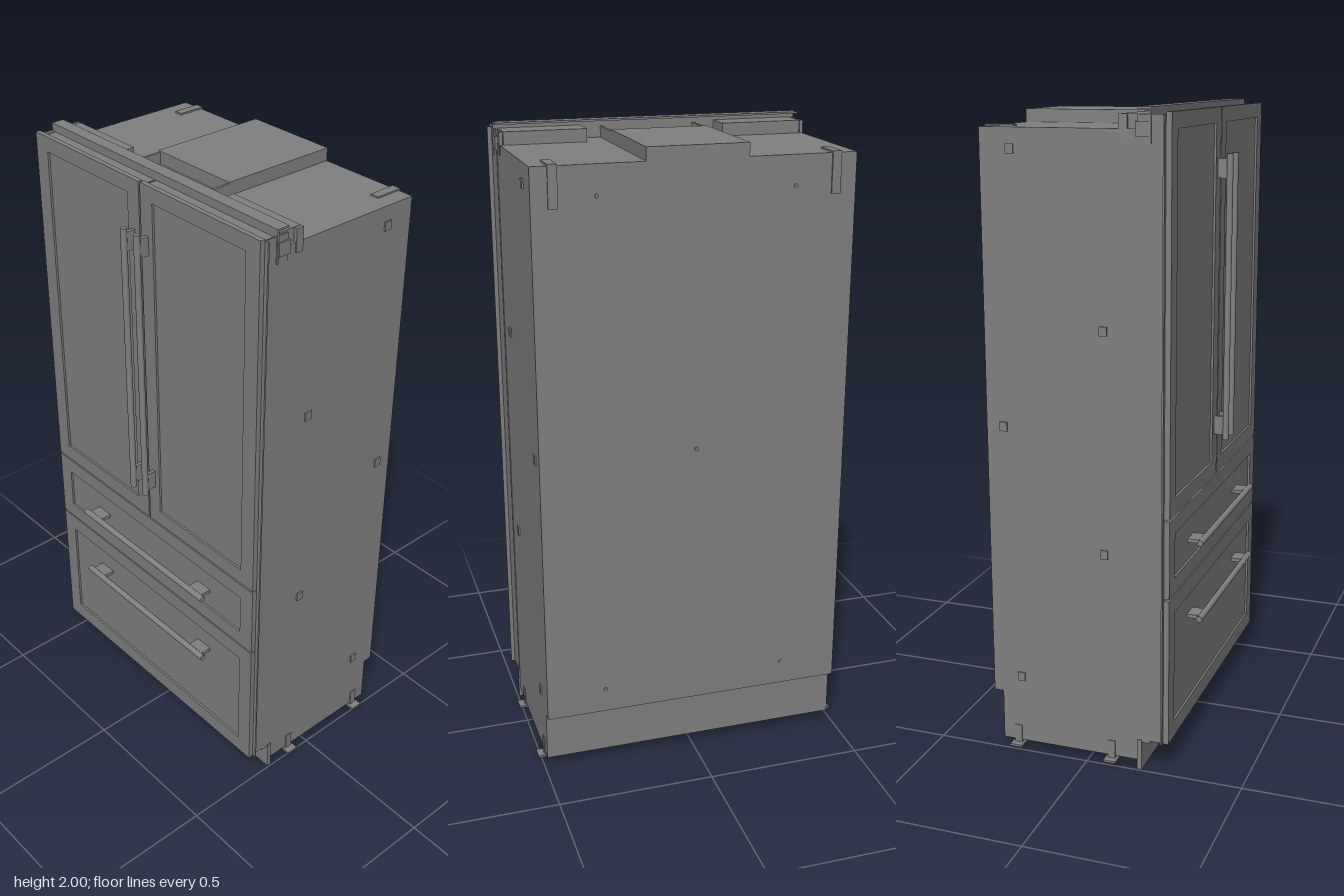
import * as THREE from 'three';

export function createModel() {
  const model = new THREE.Group();
  model.name = 'refrigerator';
  const grey = new THREE.MeshStandardMaterial({ color: 0x808080 });
  grey.name = 'grey';

  const add = (name, geometry, parent = model) => {
    const mesh = new THREE.Mesh(geometry, grey);
    mesh.name = name;
    parent.add(mesh);
    return mesh;
  };
  // Box given by its extents on each axis
  const box = (name, x0, x1, y0, y1, z0, z1, parent = model) => {
    const mesh = add(name, new THREE.BoxGeometry(x1 - x0, y1 - y0, z1 - z0), parent);
    mesh.position.set((x0 + x1) / 2, (y0 + y1) / 2, (z0 + z1) / 2);
    return mesh;
  };
  // Same box on both sides
  const pair = (name, x0, x1, ...rest) => {
    box(name + 'Left', x0, x1, ...rest);
    box(name + 'Right', -x1, -x0, ...rest);
  };
  const rect = (Type, x0, x1, y0, y1) => new Type([
    new THREE.Vector2(x0, y0), new THREE.Vector2(x1, y0),
    new THREE.Vector2(x1, y1), new THREE.Vector2(x0, y1)]);

  // Cabinet: side profile (z, y) extruded across the width
  const profile = new THREE.Shape([
    [-0.315, 0.19], [-0.285, 0.19], [-0.285, 0.03], [0.165, 0.03], [0.165, 0.09],
    [0.205, 0.09], [0.205, 1.94], [-0.315, 1.94],
  ].map(([z, y]) => new THREE.Vector2(-z, y)));
  const cabinet = new THREE.ExtrudeGeometry(profile, { depth: 0.98, bevelEnabled: false });
  cabinet.translate(0, 0, -0.49).rotateY(Math.PI / 2);
  add('cabinet', cabinet);

  // Top cover, header and hinge housings
  box('topCover', -0.155, 0.155, 1.935, 1.98, -0.315, 0.07);
  pair('hingeHousing', 0.22, 0.48, 1.935, 1.98, 0.11, 0.2);
  pair('coverRail', 0.147, 0.155, 1.935, 1.975, 0.07, 0.2);
  box('headerPlate', -0.495, 0.495, 1.9, 2, 0.2, 0.206);
  box('headerFlange', -0.495, 0.495, 1.994, 2, 0.165, 0.206);

  // Side trim strips
  pair('sideTrim', 0.488, 0.492, 0.1, 1.98, 0.165, 0.25);
  pair('sideFlange', 0.488, 0.505, 0.1, 1.98, 0.243, 0.248);

  // Toe kick and feet
  box('toeKick', -0.495, 0.495, 0, 0.1, 0.165, 0.18);
  for (const z of [-0.235, 0.08]) {
    pair('foot', 0.44, 0.514, 0.015, 0.022, z - 0.02, z + 0.02);
    pair('footStem', 0.485, 0.493, 0.015, 0.08, z - 0.012, z + 0.012);
  }

  // Framed door or drawer front with a recessed panel
  const front = (name, x0, x1, y0, y1, [px0, px1, py0, py1]) => {
    const group = new THREE.Group();
    group.name = name;
    model.add(group);
    const frame = rect(THREE.Shape, x0, x1, y0, y1);
    frame.holes.push(rect(THREE.Path, px0, px1, py0, py1));
    const geometry = new THREE.ExtrudeGeometry(frame, { depth: 0.016, bevelEnabled: false });
    add('frame', geometry.translate(0, 0, 0.25), group);
    box('recessedPanel', px0, px1, py0, py1, 0.25, 0.259, group);
    box('core', Math.max(x0, -0.48), Math.min(x1, 0.48), y0 + 0.004, Math.min(y1 - 0.004, 1.975), 0.205, 0.25, group);
  };
  front('rightDoor', -0.495, -0.003, 0.823, 1.987, [-0.44, -0.055, 0.875, 1.94]);
  front('leftDoor', 0.003, 0.495, 0.823, 1.987, [0.055, 0.44, 0.875, 1.94]);
  front('upperDrawer', -0.495, 0.495, 0.574, 0.817, [-0.44, 0.44, 0.625, 0.765]);
  front('lowerDrawer', -0.495, 0.495, 0.1, 0.568, [-0.44, 0.44, 0.155, 0.513]);

  // Round bar handle, built upright, with two flat posts
  const handle = (name, x, y, length, postOffset, horizontal) => {
    const group = new THREE.Group();
    group.name = name;
    const bar = add('bar', new THREE.CylinderGeometry(0.01, 0.01, length, 24), group);
    bar.position.z = 0.303;
    for (const s of [-1, 1]) {
      box('post', -0.006, 0.006, s * postOffset - 0.03, s * postOffset + 0.03, 0.258, 0.302, group);
    }
    group.position.set(x, y, 0);
    if (horizontal) group.rotation.z = Math.PI / 2;
    model.add(group);
  };
  handle('leftDoorHandle', 0.03, 1.4, 0.9, 0.405, false);
  handle('rightDoorHandle', -0.03, 1.4, 0.9, 0.405, false);
  handle('upperDrawerHandle', 0, 0.69, 0.61, 0.26, true);
  handle('lowerDrawerHandle', 0, 0.44, 0.61, 0.26, true);

  // Anti-tip straps folded over the rear top edge
  pair('strapTop', 0.412, 0.44, 1.938, 1.945, -0.32, -0.23);
  pair('strapBack', 0.412, 0.44, 1.82, 1.945, -0.32, -0.314);

  // Small clips on the sides
  for (const [z, y] of [[0.06, 1.37], [-0.26, 1.06], [0.06, 0.69], [-0.22, 0.25], [-0.22, 1.88]]) {
    pair('sideClip', 0.488, 0.495, y - 0.014, y + 0.014, z - 0.012, z + 0.012);
  }
  pair('hingeClip', 0.488, 0.497, 1.92, 1.96, 0.16, 0.2);
  pair('hingeBracket', 0.482, 0.493, 1.91, 1.98, 0.11, 0.135);

  // Screw heads on the back
  for (const [x, y] of [[0, 1.06], [-0.3, 0.27], [0.3, 0.27], [-0.3, 1.85], [0.3, 1.85]]) {
    const screw = add('backScrew', new THREE.CylinderGeometry(0.006, 0.006, 0.006, 12));
    screw.rotation.x = Math.PI / 2;
    screw.position.set(x, y, -0.316);
  }
  return model;
}
